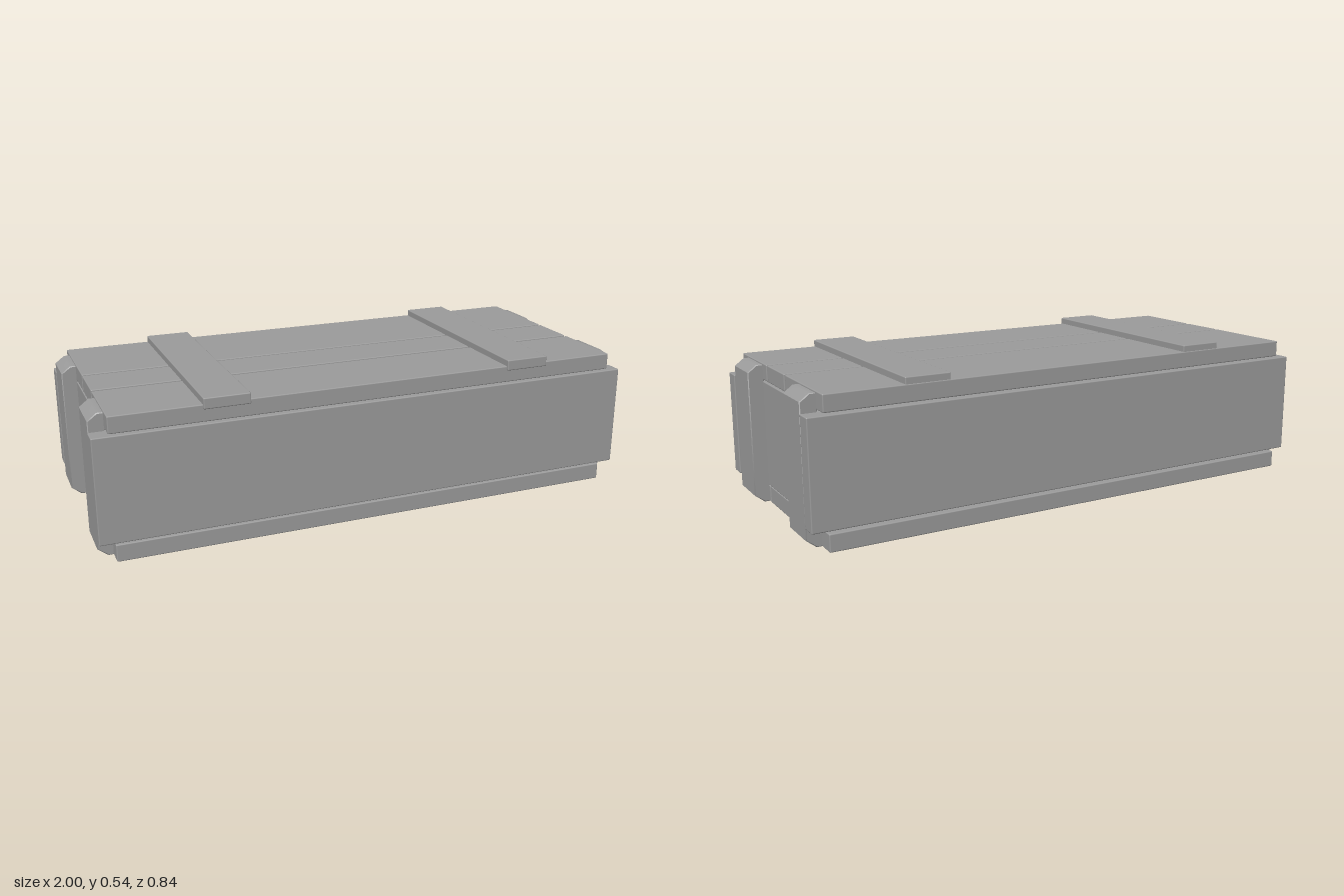
import * as THREE from 'three';
import { RoundedBoxGeometry } from 'three/addons/geometries/RoundedBoxGeometry.js';
import { toCreasedNormals } from 'three/addons/utils/BufferGeometryUtils.js';

const material = new THREE.MeshStandardMaterial({ color: 0x9b9b9b });

export function createModel() {
  const crate = new THREE.Group();
  crate.name = 'woodenCrate';

  function add(name, geometry) {
    const mesh = new THREE.Mesh(geometry, material);
    mesh.name = name;
    crate.add(mesh);
    return mesh;
  }

  // Plank with softly eased edges, given by its extents
  function plank(name, [x0, x1], [y0, y1], [z0, z1]) {
    const mesh = add(name, new RoundedBoxGeometry(x1 - x0, y1 - y0, z1 - z0, 2, 0.004));
    mesh.position.set((x0 + x1) / 2, (y0 + y1) / 2, (z0 + z1) / 2);
  }

  // Long side boards
  plank('frontBoard', [-1, 1], [0.069, 0.444], [0.353, 0.415]);
  plank('backBoard', [-1, 1], [0.069, 0.444], [-0.415, -0.354]);

  // Lid and floor planks, separated by narrow gaps
  const length = [-0.945, 0.945];
  for (const z of [[0.138, 0.414], [-0.05, 0.125], [-0.412, -0.062]]) {
    plank('lidPlank', length, [0.451, 0.511], z);
  }
  for (const z of [[0.17, 0.411], [-0.421, 0.163]]) {
    plank('floorPlank', length, [0, 0.062], z);
  }

  // Battens across the lid
  for (const x of [[-0.633, -0.471], [0.503, 0.666]]) {
    plank('lidBatten', x, [0.496, 0.535], [-0.41, 0.423]);
  }

  // Recessed end panels
  for (const x of [[-0.945, -0.865], [0.865, 0.945]]) {
    plank('endPanel', x, [0.062, 0.445], [-0.354, 0.352]);
  }

  // Upright end cleats with chamfered outer ends and fine bevels
  const profile = new THREE.Shape([
    [0.94, 0], [0.962, 0], [0.998, 0.028], [0.998, 0.48], [0.965, 0.505], [0.94, 0.505],
  ].map(([x, y]) => new THREE.Vector2(x, y)));
  const bevel = 0.003;
  function cleat(z0, z1) {
    const geometry = new THREE.ExtrudeGeometry(profile, {
      depth: z1 - z0 - 2 * bevel,
      bevelSize: bevel, bevelThickness: bevel, bevelOffset: -bevel, bevelSegments: 1,
    });
    return toCreasedNormals(geometry.translate(0, 0, z0 + bevel), 0.7);
  }
  add('leftFrontCleat', cleat(0.185, 0.343));
  add('leftBackCleat', cleat(-0.351, -0.195));
  // The right end is the left end turned half round
  add('rightFrontCleat', cleat(-0.35, -0.192).rotateY(Math.PI));
  add('rightBackCleat', cleat(0.2, 0.354).rotateY(Math.PI));

  return crate;
}
